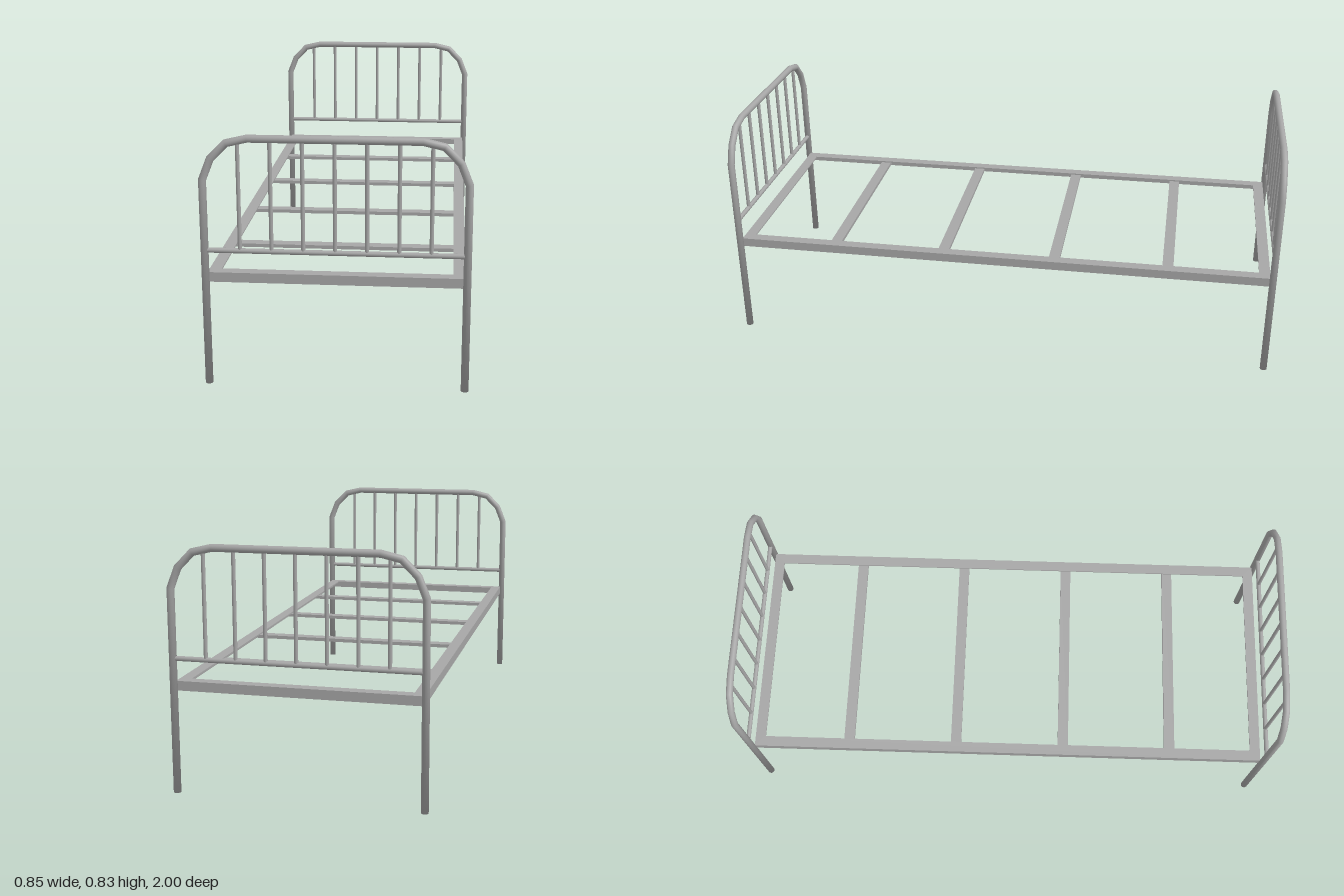
import * as THREE from 'three';

const material = new THREE.MeshStandardMaterial({ color: 0xa6a6a6 });

function add(parent, name, geometry, x = 0, y = 0, z = 0) {
  const mesh = new THREE.Mesh(geometry, material);
  mesh.name = name;
  mesh.position.set(x, y, z);
  parent.add(mesh);
  return mesh;
}

// Round pipe along a polyline in the xy plane, mitred at every bend,
// with its shading rounded over towards the open ends
function mitredPipe(points, radius, sides) {
  const positions = [], normals = [], index = [];
  const last = points.length - 1;
  points.forEach((p, i) => {
    const before = p.clone().sub(points[Math.max(i - 1, 0)]).normalize();
    const after = points[Math.min(i + 1, last)].clone().sub(p).normalize();
    const tangent = before.clone().add(after).normalize();
    const stretch = 1 / tangent.dot(i < last ? after : before);
    const endward = i === 0 ? -1 : i === last ? 1 : 0;
    for (let j = 0; j < sides; j++) {
      const a = (j / sides) * Math.PI * 2;
      const c = Math.cos(a), s = Math.sin(a), r = c * radius * stretch;
      positions.push(p.x - tangent.y * r, p.y + tangent.x * r, s * radius);
      const normal = new THREE.Vector3(
        -tangent.y * c + tangent.x * endward, tangent.x * c + tangent.y * endward, s);
      normals.push(...normal.normalize().toArray());
      if (i < last) {
        const k = (j + 1) % sides;
        const a0 = i * sides + j, b0 = i * sides + k;
        index.push(a0, b0, a0 + sides, b0, b0 + sides, a0 + sides);
      }
    }
  });
  const geometry = new THREE.BufferGeometry();
  geometry.setAttribute('position', new THREE.Float32BufferAttribute(positions, 3));
  geometry.setAttribute('normal', new THREE.Float32BufferAttribute(normals, 3));
  geometry.setIndex(index);
  return geometry;
}

// Flat rectangular ring lying in xz, rising from y = 0
function rectangularRing(halfX, halfZ, band, height) {
  const rectangle = (Type, x, z) => new Type([
    new THREE.Vector2(-x, -z), new THREE.Vector2(x, -z),
    new THREE.Vector2(x, z), new THREE.Vector2(-x, z),
  ]);
  const shape = rectangle(THREE.Shape, halfX, halfZ);
  shape.holes.push(rectangle(THREE.Path, halfX - band, halfZ - band));
  const geometry = new THREE.ExtrudeGeometry(shape, { depth: height, bevelEnabled: false });
  return geometry.rotateX(-Math.PI / 2);
}

// Arched pipe with a lower bar and spindles
function createEndBoard(name) {
  const board = new THREE.Group();
  board.name = name;

  const half = [[0.4125, 0], [0.4125, 0.68], [0.386, 0.747], [0.336, 0.798], [0.27, 0.8135]];
  const path = [
    ...half.map(([x, y]) => new THREE.Vector2(x, y)),
    ...half.slice().reverse().map(([x, y]) => new THREE.Vector2(-x, y)),
  ];
  add(board, 'archedPipe', mitredPipe(path, 0.0125, 16));

  for (const side of [-1, 1]) {
    const cap = new THREE.CircleGeometry(0.0125, 16).rotateX(Math.PI / 2);
    add(board, 'footCap', cap, side * 0.4125, 0, 0);
  }

  const bar = new THREE.CylinderGeometry(0.0085, 0.0085, 0.81, 12).rotateZ(Math.PI / 2);
  add(board, 'lowerBar', bar, 0, 0.452, 0);

  for (let i = -3; i <= 3; i++) {
    const top = Math.abs(i) === 3 ? 0.803 : 0.81;
    const spindle = new THREE.CylinderGeometry(0.0065, 0.0065, top - 0.452, 12);
    add(board, 'spindle', spindle, i * 0.1, (top + 0.452) / 2, 0);
  }
  return board;
}

export function createModel() {
  const bed = new THREE.Group();
  bed.name = 'bedFrame';

  const headboard = createEndBoard('headboard');
  headboard.position.z = -0.9875;
  const footboard = createEndBoard('footboard');
  footboard.position.z = 0.9875;
  bed.add(headboard, footboard);

  // Angle-iron frame: top flange and outer vertical flange
  const frame = new THREE.Group();
  frame.name = 'angleIronFrame';
  add(frame, 'topFlange', rectangularRing(0.408, 0.979, 0.039, 0.005), 0, 0.37, 0);
  add(frame, 'sideFlange', rectangularRing(0.408, 0.979, 0.005, 0.027), 0, 0.343, 0);
  bed.add(frame);

  // Slats spanning between the vertical flanges
  for (const z of [-0.616, -0.2, 0.216, 0.63]) {
    add(bed, 'crossSlat', new THREE.BoxGeometry(0.808, 0.012, 0.04), 0, 0.357, z);
  }
  return bed;
}
